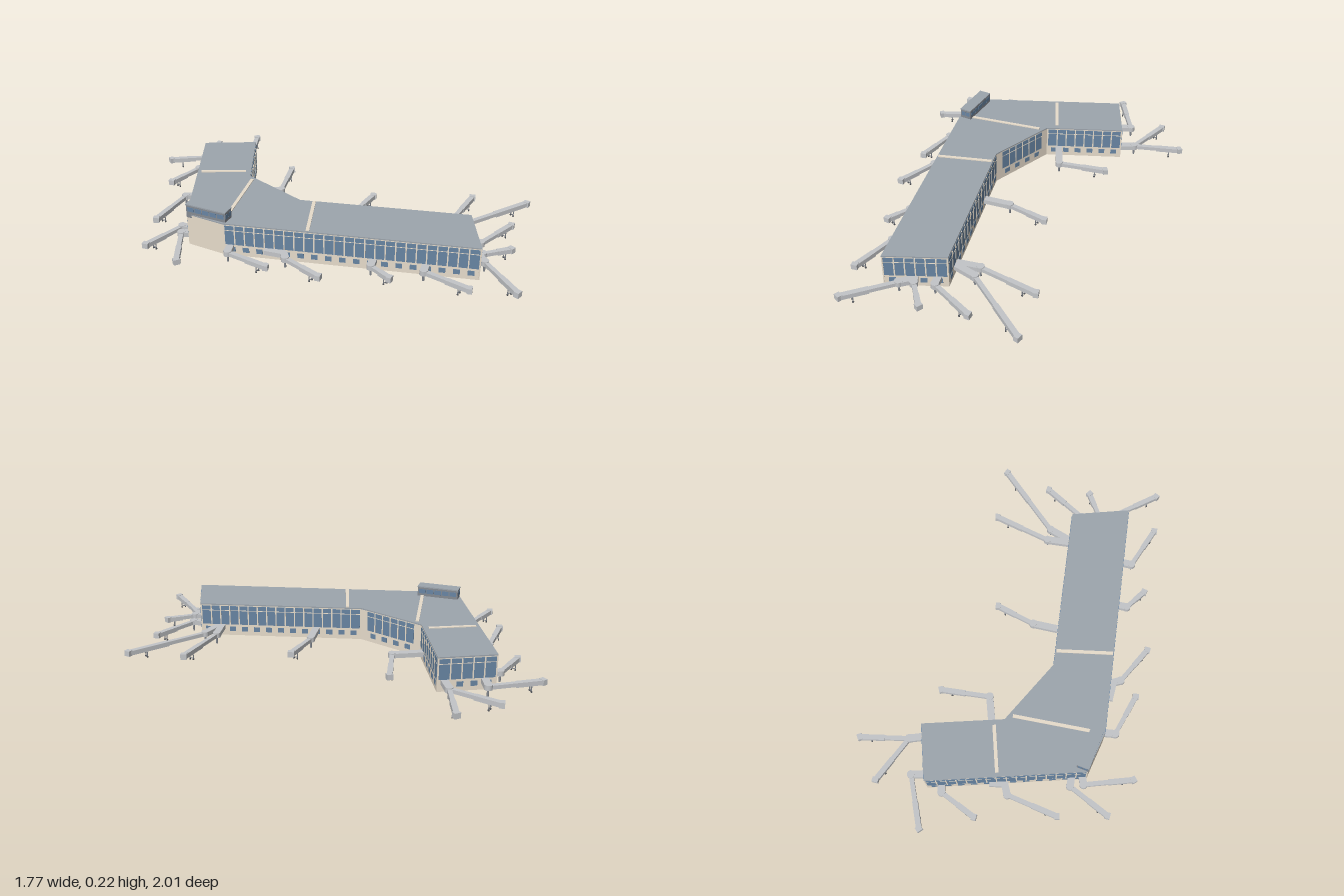
import * as THREE from 'three';
import { mergeGeometries } from 'three/addons/utils/BufferGeometryUtils.js';

const mat = (name, color) => {
  const m = new THREE.MeshStandardMaterial({ color });
  m.name = name;
  return m;
};

export function createModel() {
  const beige = mat('beige wall', 0xe7dccb);
  const glass = mat('blue glass', 0x6885a3);
  const roofGrey = mat('roof grey', 0x9da5ad);
  const bridgeGrey = mat('bridge grey', 0xc3c5c8);
  const slate = mat('slate', 0x858a92);
  const dark = mat('dark metal', 0x585b60);

  const model = new THREE.Group();
  model.name = 'terminal';
  const add = (parent, geo, material, name) => {
    const m = new THREE.Mesh(geo, material);
    m.name = name;
    parent.add(m);
    return m;
  };
  const block = (w, h, d, x, y, z) => new THREE.BoxGeometry(w, h, d).translate(x, y, z);

  // Footprint corners (x, z), clockwise seen from above
  const plan = [
    [-0.275, -0.81], [-0.045, -0.675], [-0.25, -0.35], [-0.165, -0.01],
    [0.426, 0.53], [0.28, 0.775], [-0.57, -0.01], [-0.669, -0.181],
  ];
  const H = 0.158;

  // Walls: a glazed band with slim mullions above small ground windows
  plan.forEach(([x0, z0], i) => {
    const [x1, z1] = plan[(i + 1) % plan.length];
    const dx = x1 - x0, dz = z1 - z0, len = Math.hypot(dx, dz);
    const wall = new THREE.Group();
    wall.name = 'wall' + (i + 1);
    wall.position.set((x0 + x1) / 2, 0, (z0 + z1) / 2);
    wall.rotation.y = Math.atan2(dz, -dx);
    model.add(wall);
    add(wall, block(len, H, 0.006, 0, H / 2, -0.003), beige, 'wallPanel');
    if (i === 6) return; // blank wall below the tower

    const span = len - (i === 2 ? 0.08 : 0.014); // wide piers on the inner bend
    const n = Math.round(span / 0.046), pitch = span / n;
    add(wall, block(span, 0.097, 0.002, 0, 0.1055, 0.001), glass, 'glazedBand');
    const bars = [block(span, 0.003, 0.003, 0, 0.131, 0.0015)];
    for (let k = 1; k < n; k++) bars.push(block(0.006, 0.097, 0.004, -span / 2 + k * pitch, 0.1055, 0.002));
    add(wall, mergeGeometries(bars), beige, 'mullions');

    const count = Math.round(span / 0.062), small = [];
    for (let k = 0; k < count; k++)
      small.push(block(0.03, 0.024, 0.002, ((k + 0.5) / count - 0.5) * span, 0.033, 0.001));
    add(wall, mergeGeometries(small), glass, 'groundWindows');
  });

  // Flat roof
  const shape = new THREE.Shape(plan.map(([x, z]) => new THREE.Vector2(x, -z)));
  const roof = new THREE.ExtrudeGeometry(shape, { depth: 0.006, bevelEnabled: false });
  roof.rotateX(-Math.PI / 2).translate(0, H, 0);
  add(model, roof, roofGrey, 'roof');

  // A box laid along a line in plan
  const beam = (parent, a, b, w, h, y, material, name, extra = 0) => {
    const dx = b[0] - a[0], dz = b[1] - a[1];
    const m = add(parent, new THREE.BoxGeometry(w, h, Math.hypot(dx, dz) + extra), material, name);
    m.position.set((a[0] + b[0]) / 2, y, (a[1] + b[1]) / 2);
    m.rotation.y = Math.atan2(dx, dz);
  };

  // Expansion joints on the roof
  [
    [[-0.435, -0.52], [-0.245, -0.405]],
    [[-0.26, -0.31], [-0.55, -0.035]],
    [[-0.118, 0.04], [-0.282, 0.25]],
  ].forEach(([a, b]) => beam(model, a, b, 0.016, 0.006, 0.165, beige, 'roofJoint'));

  // Rooftop control room
  const tower = new THREE.Group();
  tower.name = 'tower';
  tower.position.set(-0.59, 0, -0.11);
  tower.rotation.y = Math.atan2(0.55, 0.835);
  model.add(tower);
  add(tower, block(0.057, 0.064, 0.205, 0, 0.177, 0), slate, 'towerRoom');
  add(tower, block(0.06, 0.006, 0.208, 0, 0.212, 0), roofGrey, 'towerRoof');
  const towerPanes = [];
  for (let k = -2; k <= 2; k++) towerPanes.push(block(0.06, 0.022, 0.034, 0, 0.189, k * 0.039));
  for (const s of [-1, 1]) towerPanes.push(block(0.021, 0.022, 0.208, s * 0.0125, 0.189, 0));
  add(tower, mergeGeometries(towerPanes), glass, 'towerWindows');

  // Boarding bridges: plan paths from the building to the aircraft cab
  const bridges = [
    [[-0.23, -0.78], [-0.19, -0.84], [-0.42, -0.945]],
    [[-0.28, -0.73], [-0.34, -0.77], [-0.52, -0.712]],
    [[-0.075, -0.69], [-0.04, -0.755], [-0.115, -0.988]],
    [[-0.075, -0.69], [-0.04, -0.755], [0.1, -0.94]],
    [[-0.22, -0.405], [-0.09, -0.33], [0.073, -0.5]],
    [[-0.435, -0.56], [-0.475, -0.51], [-0.525, -0.53], [-0.737, -0.4]],
    [[-0.61, -0.22], [-0.66, -0.27], [-0.868, -0.21]],
    [[-0.64, -0.19], [-0.69, -0.215], [-0.806, -0.012]],
    [[-0.54, 0.0], [-0.583, 0.05], [-0.493, 0.24]],
    [[-0.43, 0.13], [-0.375, 0.195], [-0.388, 0.23], [-0.338, 0.43]],
    [[-0.05, 0.44], [-0.1, 0.485], [-0.085, 0.605]],
    [[0.11, 0.61], [0.07, 0.645], [0.153, 0.855]],
    [[0.36, 0.66], [0.345, 0.73], [0.305, 0.985]],
    [[0.32, 0.64], [0.38, 0.675], [0.517, 0.713]],
    [[0.39, 0.56], [0.433, 0.6], [0.66, 0.555]],
    [[0.34, 0.47], [0.428, 0.38], [0.682, 0.247]],
    [[0.36, 0.47], [0.465, 0.427], [0.868, 0.437]],
    [[0.0, 0.14], [0.095, 0.055], [0.273, -0.032]],
  ];
  bridges.forEach((path, i) => {
    const g = new THREE.Group();
    g.name = 'boardingBridge' + (i + 1);
    model.add(g);
    const last = path.length - 1;
    // Fixed walkway
    for (let k = 0; k < last - 1; k++)
      beam(g, path[k], path[k + 1], 0.034, 0.022, 0.045, bridgeGrey, 'walkway', 0.012);
    const a = path[last - 1], b = path[last];
    const heading = Math.atan2(b[0] - a[0], b[1] - a[1]);
    const at = t => [a[0] + (b[0] - a[0]) * t, a[1] + (b[1] - a[1]) * t];
    // Rotunda on its column
    const rotunda = add(g, new THREE.CylinderGeometry(0.019, 0.019, 0.024, 12), bridgeGrey, 'rotunda');
    rotunda.position.set(a[0], 0.0455, a[1]);
    const column = add(g, new THREE.CylinderGeometry(0.005, 0.005, 0.035, 8), slate, 'column');
    column.position.set(a[0], 0.0175, a[1]);
    // Telescoping tunnel and cab
    beam(g, a, at(0.55), 0.021, 0.018, 0.044, bridgeGrey, 'innerTunnel');
    beam(g, at(0.5), b, 0.025, 0.022, 0.043, bridgeGrey, 'outerTunnel');
    const cab = add(g, new THREE.BoxGeometry(0.029, 0.026, 0.024), bridgeGrey, 'cab');
    cab.position.set(b[0], 0.0435, b[1]);
    cab.rotation.y = heading + 0.4;
    // Drive legs with wheels
    const drive = new THREE.Group();
    drive.name = 'driveLegs';
    const p = at(0.78);
    drive.position.set(p[0], 0, p[1]);
    drive.rotation.y = heading;
    g.add(drive);
    for (const s of [-1, 1]) {
      add(drive, block(0.003, 0.028, 0.004, s * 0.009, 0.02, 0), slate, 'leg');
      const wheel = new THREE.CylinderGeometry(0.0045, 0.0045, 0.004, 10);
      wheel.rotateZ(Math.PI / 2).translate(s * 0.009, 0.0045, 0);
      add(drive, wheel, dark, 'wheel');
    }
    add(drive, block(0.018, 0.003, 0.004, 0, 0.01, 0), slate, 'axle');
  });

  return model;
}
